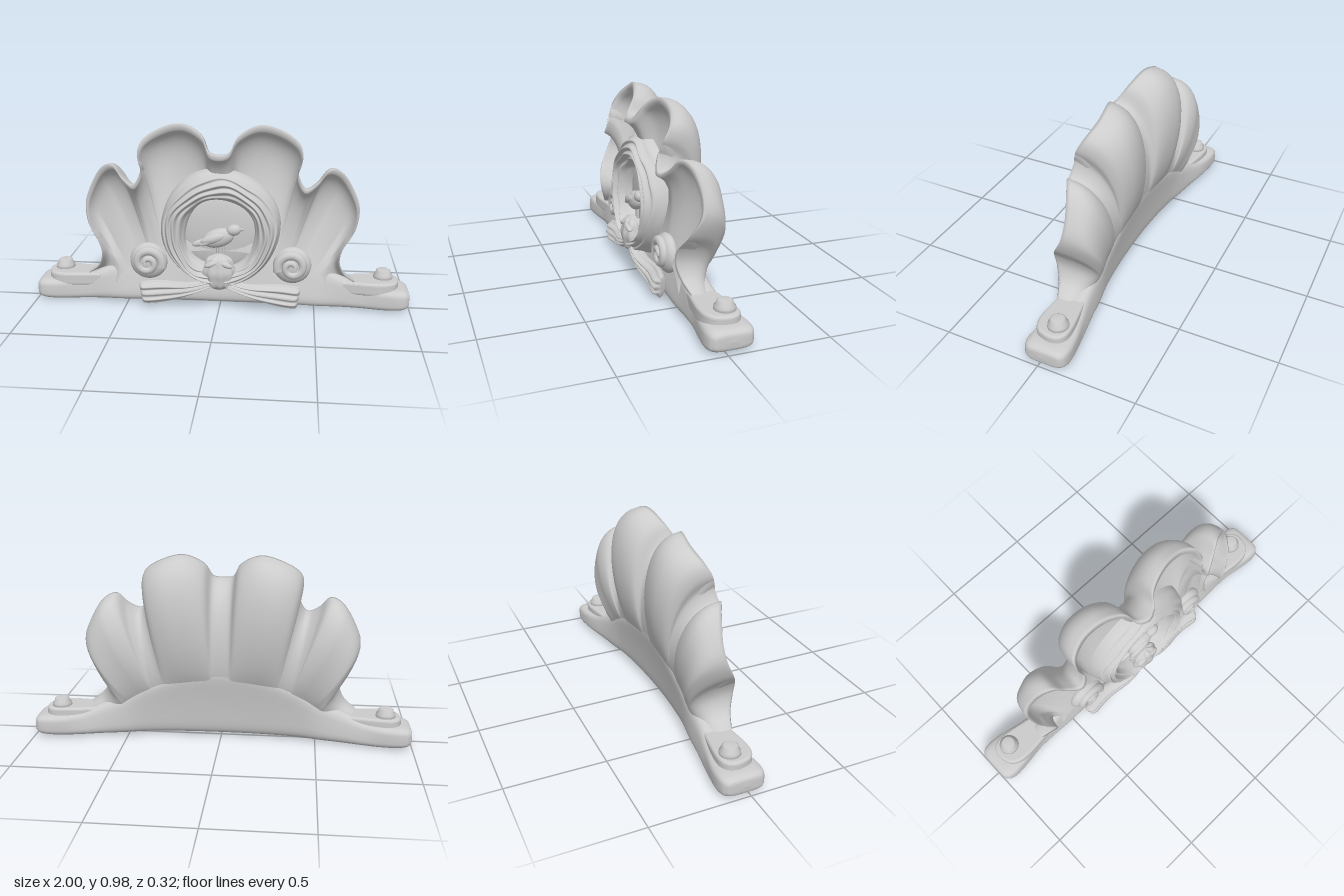
import * as THREE from 'three';

const MAT = new THREE.MeshStandardMaterial({ color: 0xcccccc, side: THREE.DoubleSide });
const V = (x, y, z) => new THREE.Vector3(x, y, z);
const { lerp, clamp, smoothstep } = THREE.MathUtils;

// Smooth surface through fn(u, v), both 0..1; closedU / closedV weld the seam
function grid(nu, nv, fn, closedU = false, closedV = false) {
  const pos = [], idx = [];
  const cu = closedU ? nu : nu + 1, cv = closedV ? nv : nv + 1;
  for (let i = 0; i < cu; i++)
    for (let j = 0; j < cv; j++) pos.push(...fn(i / nu, j / nv).toArray());
  for (let i = 0; i < nu; i++)
    for (let j = 0; j < nv; j++) {
      const a = i * cv + j, b = ((i + 1) % cu) * cv + j;
      const d = i * cv + (j + 1) % cv, c = ((i + 1) % cu) * cv + (j + 1) % cv;
      idx.push(a, b, c, a, c, d);
    }
  const g = new THREE.BufferGeometry();
  g.setAttribute('position', new THREE.Float32BufferAttribute(pos, 3));
  g.setIndex(idx);
  g.computeVertexNormals();
  return g;
}

function add(parent, name, geo, x = 0, y = 0, z = 0) {
  const m = new THREE.Mesh(geo, MAT);
  m.name = name;
  m.position.set(x, y, z);
  parent.add(m);
  return m;
}

function blob(parent, name, p, s, rz = 0) {
  const m = add(parent, name, new THREE.SphereGeometry(1, 28, 18), ...p);
  m.scale.set(...s);
  m.rotation.z = rz;
}

// Four-lobed shell: wavy rim, each radial strip a front curve, a rim and a back curve
function shellGeometry() {
  const half = [
    [0.05, 0.85, 0.11], [0.095, 0.925, 0.06], [0.2, 0.975, 0.025], [0.32, 0.945, 0.015],
    [0.405, 0.885, 0.045], [0.42, 0.82, 0.08], [0.4, 0.75, 0.1], [0.44, 0.672, 0.115],
    [0.5, 0.7, 0.085], [0.56, 0.762, 0.05], [0.62, 0.74, 0.02], [0.69, 0.63, -0.005],
    [0.718, 0.54, 0.005], [0.695, 0.44, 0.055], [0.64, 0.36, 0.09], [0.622, 0.29, 0.09],
    [0.645, 0.215, 0.07], [0.71, 0.16, 0.045],
  ];
  const pts = [
    ...half.slice().reverse().map(([x, y, z]) => V(-x, y, z)),
    V(0, 0.84, 0.13),
    ...half.map(p => V(...p)),
  ];
  const rim = new THREE.CatmullRomCurve3(pts, false, 'centripetal');
  const bez = (a, b, c, d, t) => new THREE.CubicBezierCurve3(a, b, c, d).getPoint(t);
  return grid(220, 40, (u, v) => {
    const R = rim.getPointAt(u);
    const A = Math.atan2(R.x, Math.max(R.y - 0.12, 0.02));
    const H = V(0.56 * Math.sin(A), 0.09 + 0.22 * Math.cos(A), 0);
    const valley = clamp((R.z - 0.01) / 0.1, 0, 1);
    const outer = smoothstep(Math.abs(A), 0.5, 0.95);
    const low = smoothstep(R.y, 0.14, 0.42); // fades the bulge towards the feet
    const at = (t, z) => V(lerp(H.x, R.x, t), lerp(H.y, R.y, t), z);
    if (v <= 0.475) {
      return bez(at(0, 0.06), at(0.35, lerp(0, 0.03, valley)),
        at(0.84, lerp(lerp(-0.17, -0.12, outer), 0.02, valley)), at(0.955, R.z + 0.012), v / 0.475);
    }
    if (v < 0.525) return at(1, R.z + 0.004);
    const b1 = lerp(lerp(-0.18, -0.15, outer), -0.115, valley);
    const b2 = lerp(lerp(-0.225, -0.19, outer), -0.09, valley);
    return bez(at(0, lerp(-0.04, -0.07, low)), at(0.28, lerp(-0.06, b1, low)),
      at(0.97, lerp(-0.07, b2, low)), at(0.995, R.z - 0.012), (1 - v) / 0.475);
  });
}

// Arched base with spreading feet: rounded sections lofted along x
function baseGeometry() {
  // x, bottom, top, front z at bottom, front z at top, back z at top, back z at bottom
  const st = [
    [0, 0.015, 0.38, 0.075, 0, -0.095, -0.045], [0.2, 0.015, 0.355, 0.075, 0, -0.095, -0.05],
    [0.4, 0.012, 0.28, 0.08, 0.01, -0.09, -0.065], [0.52, 0.008, 0.22, 0.08, 0.03, -0.08, -0.085],
    [0.64, 0.005, 0.175, 0.07, 0.05, -0.08, -0.1], [0.74, 0.002, 0.135, 0.068, 0.055, -0.1, -0.115],
    [0.84, 0, 0.12, 0.08, 0.075, -0.13, -0.13], [0.92, 0.003, 0.118, 0.09, 0.085, -0.14, -0.14],
    [0.965, 0.008, 0.114, 0.085, 0.08, -0.135, -0.135], [0.987, 0.018, 0.104, 0.07, 0.065, -0.12, -0.12],
    [0.997, 0.032, 0.09, 0.045, 0.04, -0.095, -0.095], [1, 0.06, 0.06, -0.025, -0.025, -0.025, -0.025],
  ];
  const xs = [...st.slice(1).reverse().map(s => [-s[0], ...s.slice(1)]), ...st];
  const sq = c => Math.sign(c) * Math.pow(Math.abs(c), 0.5);
  // stations smoothed by a spline in each column
  const n = xs.length - 1;
  const tangent = (i, k) => (i < 1 || i >= n ? 0 : (xs[i + 1][k] - xs[i - 1][k]) / (xs[i + 1][0] - xs[i - 1][0]));
  return grid(n * 5, 44, (u, v) => {
    const i = Math.min(Math.floor(u * n + 1e-6), n - 1), t = u * n - i;
    const p = xs[i], q = xs[i + 1], w = q[0] - p[0], e = 1 - t;
    const s = p.map((a, k) => k === 0 ? lerp(a, q[0], t)
      : a * (1 + 2 * t) * e * e + tangent(i, k) * w * t * e * e
        + q[k] * t * t * (3 - 2 * t) - tangent(i + 1, k) * w * t * t * e);
    const a = v * Math.PI * 2, up = sq(Math.sin(a)) / 2 + 0.5;
    const back = lerp(s[6], s[5], up * up), front = lerp(s[3], s[4], up);
    return V(s[0], lerp(s[1], s[2], up), lerp(back, front, sq(Math.cos(a)) / 2 + 0.5));
  }, false, true);
}

// Wreath of wound strands, slightly irregular
function wreathGeometry() {
  return grid(150, 60, (u, v) => {
    const a = u * Math.PI * 2;
    const wave = 1.3 * Math.sin(2 * a + 1) + 0.9 * Math.sin(5 * a) + 0.5 * Math.sin(9 * a + 4 * v);
    const ridge = Math.cos(v * Math.PI * 10 + wave);
    const r = lerp(0.315, 0.18, v) + 0.004 * Math.sin(4 * a + 6 * v);
    const dome = Math.pow(Math.max(Math.sin(Math.PI * v), 0), 0.55);
    const z = 0.015 + (0.118 - 0.012 * Math.sin(a)) * dome + 0.009 * ridge * dome;
    return V(r * Math.cos(a), lerp(0.43, 0.4, v) + r * Math.sin(a), z);
  }, true);
}

function addBird(parent) {
  const bird = new THREE.Group();
  bird.name = 'bird';
  parent.add(bird);
  blob(bird, 'birdBody', [-0.005, 0.39, 0.085], [0.085, 0.05, 0.036], 0.3);
  blob(bird, 'birdHead', [0.075, 0.437, 0.09], [0.038, 0.03, 0.028], 0.2);
  blob(bird, 'birdWing', [-0.03, 0.392, 0.108], [0.068, 0.025, 0.02], 0.32);
  blob(bird, 'birdWingFeathers', [-0.05, 0.375, 0.108], [0.055, 0.014, 0.016], 0.4);
  blob(bird, 'birdTail', [-0.095, 0.36, 0.08], [0.05, 0.018, 0.015], 0.3);
  const beak = add(bird, 'birdBeak', new THREE.ConeGeometry(0.014, 0.03, 10), 0.117, 0.44, 0.09);
  beak.rotation.z = -Math.PI / 2;
  for (const x of [-0.01, 0.02])
    add(bird, 'birdLeg', new THREE.CylinderGeometry(0.007, 0.007, 0.06, 8), x, 0.325, 0.08);
}

// Parts that occur once on each side, built for the +x side
function sideParts() {
  const g = new THREE.Group();

  // Scroll: round backing and a tapering spiral ridge
  blob(g, 'scrollBacking', [0.38, 0.24, 0.05], [0.1, 0.1, 0.05]);
  add(g, 'scrollSpiral', grid(90, 12, (u, v) => {
    const a = Math.PI * 1.1 - u * Math.PI * 3.1, b = v * Math.PI * 2;
    const r = lerp(0.076, 0.014, u), w = lerp(0.026, 0.014, u);
    const q = r - w * Math.cos(b);
    return V(0.38 + q * Math.cos(a), 0.24 + q * Math.sin(a), lerp(0.08, 0.1, u) + w * Math.sin(b));
  }, false, true));

  // Pleated ribbon tail
  add(g, 'ribbonTail', grid(40, 48, (u, v) => {
    const a = v * Math.PI * 2, end = Math.sqrt(Math.max(1 - Math.pow(u, 24), 0));
    const hh = lerp(0.022, 0.064, smoothstep(u, 0, 0.85)) * lerp(0.8, 1, end);
    const front = Math.max(Math.cos(a), 0);
    const pleat = 0.012 * Math.cos(Math.sin(a) * Math.PI * 3.5) * Math.sqrt(front);
    const cy = 0.15 - 0.075 * u - 0.02 * Math.sin(u * Math.PI);
    return V(0.03 + 0.39 * u + 0.008 * Math.sin(a), cy + hh * Math.sin(a),
      0.092 + 0.01 * Math.sin(u * 7) + end * (0.038 * Math.cos(a) + pleat));
  }, false, true));

  // Raised pad and bolt on the foot
  const s = new THREE.Shape();
  s.moveTo(0.66, -0.04);
  s.bezierCurveTo(0.76, -0.05, 0.88, -0.08, 0.915, -0.02);
  s.bezierCurveTo(0.94, 0.04, 0.93, 0.09, 0.87, 0.09);
  s.bezierCurveTo(0.8, 0.09, 0.74, 0.07, 0.66, 0.06);
  const pad = add(g, 'footPad', new THREE.ExtrudeGeometry(s, {
    depth: 0.04, bevelEnabled: true, bevelSize: 0.015, bevelThickness: 0.015, bevelSegments: 4, curveSegments: 16,
  }), 0, 0.1, 0);
  pad.rotation.x = -Math.PI / 2;
  const bolt = [[0, -0.06], [0.054, -0.06], [0.05, -0.03], [0.04, -0.02], [0.038, -0.006], [0.03, 0], [0, 0]]
    .map(p => new THREE.Vector2(...p));
  add(g, 'footBolt', new THREE.LatheGeometry(bolt, 20), 0.862, 0.2, -0.04);
  return g;
}

export function createModel() {
  const model = new THREE.Group();
  model.name = 'shellOrnament';

  add(model, 'shell', shellGeometry());
  add(model, 'base', baseGeometry());
  add(model, 'wreath', wreathGeometry());
  blob(model, 'medallionBacking', [0, 0.41, 0.02], [0.22, 0.22, 0.045]);
  addBird(model);

  // Ribbed knot below the bird
  add(model, 'knot', grid(54, 24, (u, v) => {
    const a = u * Math.PI * 2, b = v * Math.PI, w = Math.pow(Math.sin(b), 0.8);
    const k = 1 + 0.05 * Math.cos(9 * a) * w + 0.03 * Math.cos(b * 8);
    return V(0.083 * w * Math.cos(a) * k, 0.21 - 0.097 * Math.cos(b) * k, 0.105 - 0.056 * w * Math.sin(a) * k);
  }, true));
  for (const s of [-1, 1])
    blob(model, 'knotLeaf', [s * 0.038, 0.262, 0.138], [0.038, 0.015, 0.018], -s * 0.4);

  const left = sideParts();
  left.name = 'leftParts';
  const right = sideParts();
  right.name = 'rightParts';
  right.scale.x = -1;
  model.add(left, right);
  return model;
}
